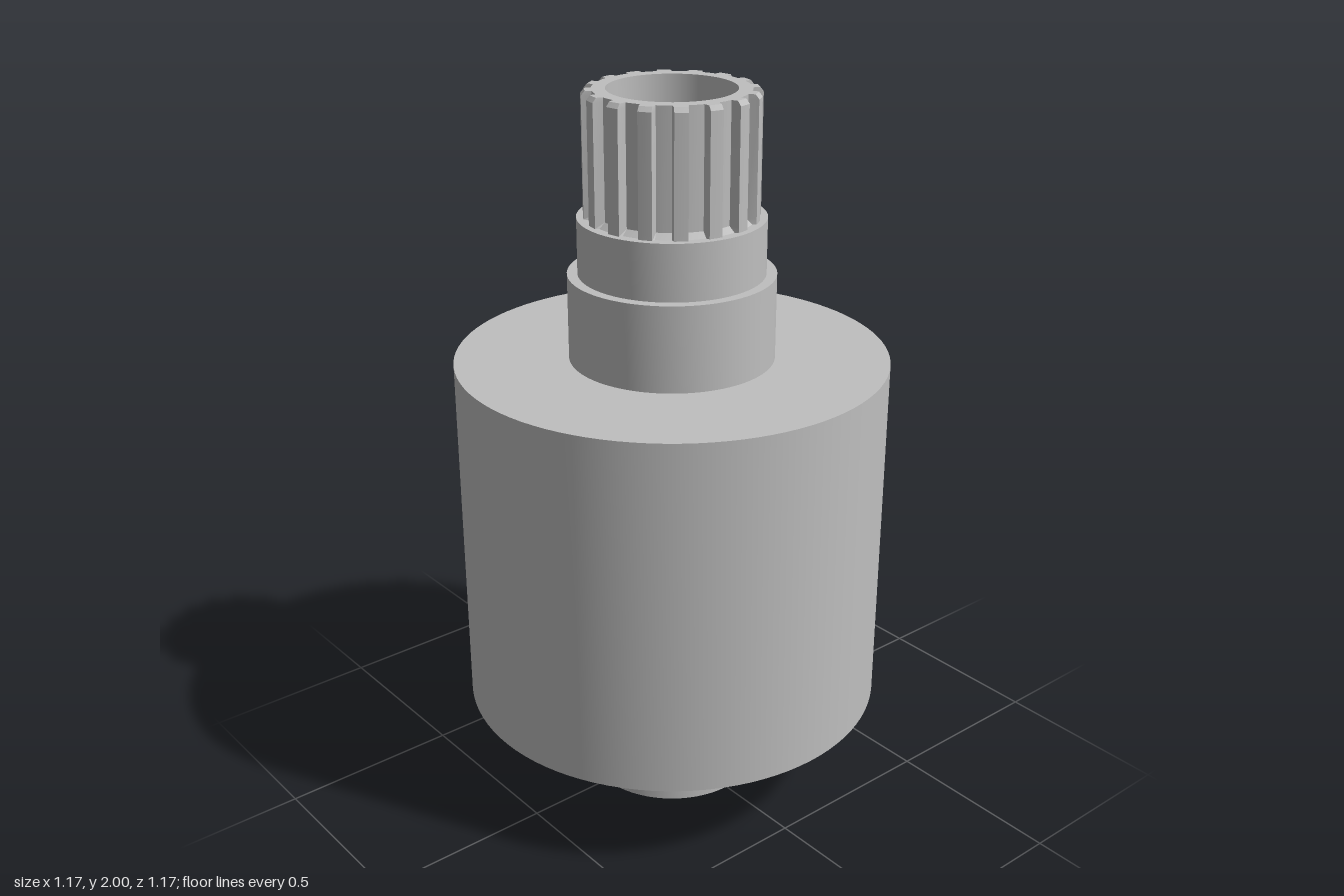
import * as THREE from 'three';
import { toCreasedNormals } from 'three/addons/utils/BufferGeometryUtils.js';

const BORE = 0.169;
const TEETH = 16;

export function createModel() {
  const group = new THREE.Group();
  const steel = new THREE.MeshStandardMaterial({ color: 0xbfbfbf });
  steel.name = 'grey steel';

  const add = (name, geometry) => {
    const mesh = new THREE.Mesh(toCreasedNormals(geometry, 0.5), steel);
    mesh.name = name;
    group.add(mesh);
  };
  const turned = (name, profile) =>
    add(name, new THREE.LatheGeometry(profile.map(([r, y]) => new THREE.Vector2(r, y)), 96));

  // Turned surfaces, each profile running up the outside
  turned('lowerJournal', [[BORE, 0], [0.25, 0], [0.25, 0.125]]);
  turned('lowerShoulder', [[0.25, 0.125], [0.278, 0.125], [0.278, 0.275]]);
  turned('drum', [[0.278, 0.275], [0.587, 0.275], [0.587, 1.28], [0.278, 1.28]]);
  turned('upperShoulder', [[0.278, 1.28], [0.278, 1.515], [0.25, 1.515]]);
  turned('upperJournal', [[0.25, 1.515], [0.25, 1.668], [0.2, 1.668]]);
  turned('bore', [[BORE, 2], [BORE, 0]]);

  add('splinedEnd', splineGeometry());
  return group;
}

// Toothed sleeve: run-out at the foot, chamfer at the tip, flat end face
function splineGeometry() {
  const rings = [ // height, groove radius, tooth radius
    [1.668, 0.222, 0.232],
    [1.682, 0.205, 0.232],
    [1.988, 0.205, 0.232],
    [2, 0.205, 0.222],
    [2, BORE, BORE],
  ];
  // Angle in degrees within one pitch, and whether the point is on a tooth
  const pitch = [[-5.6, 0], [0, 0], [5.6, 0], [6.8, 1], [11.25, 1], [15.7, 1]];
  const count = TEETH * pitch.length;
  const positions = [];
  const index = [];

  rings.forEach(([y, groove, tooth], row) => {
    for (let i = 0; i < count; i++) {
      const [degrees, onTooth] = pitch[i % pitch.length];
      const turn = Math.floor(i / pitch.length) * 360 / TEETH;
      const a = THREE.MathUtils.degToRad(turn + degrees);
      const r = onTooth ? tooth : groove;
      positions.push(r * Math.sin(a), y, r * Math.cos(a));
      if (row < rings.length - 1) {
        const p = row * count + i;
        const q = row * count + (i + 1) % count;
        index.push(p, q, q + count, p, q + count, p + count);
      }
    }
  });

  const geometry = new THREE.BufferGeometry();
  geometry.setAttribute('position', new THREE.Float32BufferAttribute(positions, 3));
  geometry.setIndex(index);
  return geometry;
}
